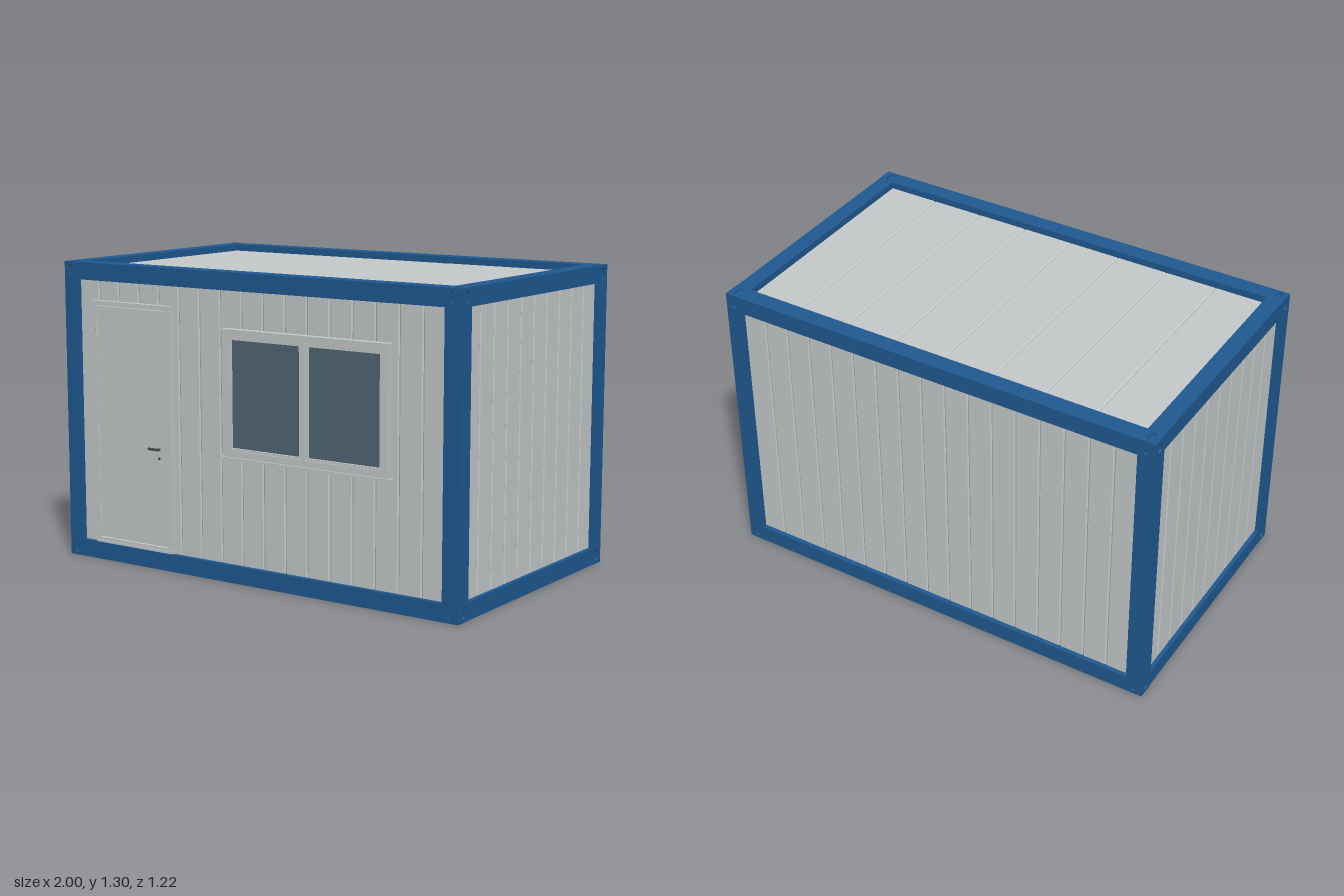
import * as THREE from 'three';

const mat = (name, color) => Object.assign(new THREE.MeshStandardMaterial({ color }), { name });
const blue = mat('frame blue', 0x1f5a92);
const grey = mat('panel grey', 0xc6caca);
const glassMat = mat('window glass', 0x506776);
const brown = mat('floor brown', 0x76573f);
const steel = mat('beam steel', 0x46616f);
const dark = mat('hardware grey', 0x4a4d50);

// Overall body: posts and rails of side S
const X = 1, H = 1.3, ZF = 0.59, ZB = -0.61, S = 0.075;
const ZC = (ZF + ZB) / 2, D = ZF - ZB, INSET = 0.02;

export function createModel() {
  const model = new THREE.Group();
  model.name = 'siteCabin';

  const add = (name, geo, material, x = 0, y = 0, z = 0, parent = model) => {
    const m = new THREE.Mesh(geo, material);
    m.name = name;
    m.position.set(x, y, z);
    parent.add(m);
    return m;
  };
  // Box given by its limits
  const box = (name, material, x0, x1, y0, y1, z0, z1, parent) =>
    add(name, new THREE.BoxGeometry(x1 - x0, y1 - y0, z1 - z0), material,
      (x0 + x1) / 2, (y0 + y1) / 2, (z0 + z1) / 2, parent);
  const rect = (Type, x0, x1, y0, y1) => {
    const s = new Type();
    s.moveTo(x0, y0).lineTo(x1, y0).lineTo(x1, y1).lineTo(x0, y1).closePath();
    return s;
  };
  // Upright plate with rectangular openings
  const frame = (name, outer, holes, z0, z1, parent) => {
    const s = rect(THREE.Shape, ...outer);
    holes.forEach(h => s.holes.push(rect(THREE.Path, ...h)));
    const geo = new THREE.ExtrudeGeometry(s, { depth: z1 - z0, bevelEnabled: false });
    return add(name, geo, grey, 0, 0, z0, parent);
  };

  // Steel frame: posts, long rails and end rails
  const e = 0.002;
  for (const x of [-X, X - S])
    for (const z of [ZB, ZF - S])
      box('cornerPost', blue, x, x + S, S, H - S, z, z + S);
  for (const y of [0, H - S]) {
    for (const z of [ZB, ZF - S])
      box('longRail', blue, -X + S, X - S, y, y + S, z, z + S);
    for (const x of [-X, X - S])
      box('endRail', blue, x + e, x + S - e, y, y + S, ZB + S, ZF - S);
  }

  // Corner castings: a core with a slotted plate on each outer face
  const T = 0.01, r = 0.013;
  const slotted = rect(THREE.Shape, -S / 2, S / 2, -S / 2, S / 2);
  const slot = new THREE.Path();
  slot.absarc(0, 0.012, r, 0, Math.PI, false);
  slot.absarc(0, -0.012, r, Math.PI, Math.PI * 2, false);
  slot.closePath();
  slotted.holes.push(slot);
  const plateGeo = new THREE.ExtrudeGeometry(slotted, { depth: T, bevelEnabled: false, curveSegments: 8 });
  plateGeo.translate(0, 0, S / 2 - T);
  for (const sx of [-1, 1]) for (const sy of [-1, 1]) for (const sz of [-1, 1]) {
    const corner = new THREE.Group();
    corner.name = 'cornerCasting';
    corner.position.set(sx * (X - S / 2), H / 2 + sy * (H - S) / 2, ZC + sz * (D - S) / 2);
    const c = S - T;
    add('castingCore', new THREE.BoxGeometry(c, c, c), blue, -sx * T / 2, -sy * T / 2, -sz * T / 2, corner);
    add('castingPlate', plateGeo, blue, 0, 0, 0, corner).rotation.y = sx * Math.PI / 2;
    add('castingPlate', plateGeo, blue, 0, 0, 0, corner).rotation.x = -sy * Math.PI / 2;
    add('castingPlate', plateGeo, blue, 0, 0, 0, corner).rotation.y = sz > 0 ? 0 : Math.PI;
    model.add(corner);
  }

  // Sheet with shallow V grooves; outer face at z = 0, centred on x and y
  const groovedSheet = (w, h, pitch) => {
    const t = 0.03, n = Math.round(w / pitch), g = 0.006;
    const s = new THREE.Shape();
    s.moveTo(-w / 2, t).lineTo(-w / 2, 0);
    for (let i = 1; i < n; i++) {
      const x = -w / 2 + (i * w) / n;
      s.lineTo(x - g, 0).lineTo(x, 0.003).lineTo(x + g, 0);
    }
    s.lineTo(w / 2, 0).lineTo(w / 2, t).closePath();
    const geo = new THREE.ExtrudeGeometry(s, { depth: h, bevelEnabled: false });
    return geo.translate(0, 0, -h / 2).rotateX(-Math.PI / 2);
  };
  const wallH = H - 2 * S + 0.01, lw = 2 * (X - S) + 0.01, ew = D - 2 * S + 0.01;
  const longSheet = groovedSheet(lw, wallH, 0.11), endSheet = groovedSheet(ew, wallH, 0.11);
  add('frontWall', longSheet, grey, 0, H / 2, ZF - INSET);
  add('backWall', longSheet, grey, 0, H / 2, ZB + INSET).rotation.y = Math.PI;
  for (const s of [-1, 1])
    add('endWall', endSheet, grey, s * (X - INSET), H / 2, ZC).rotation.y = s * Math.PI / 2;
  add('roof', groovedSheet(lw, ew, 0.23), grey, 0, H - 0.03, ZC).rotation.x = -Math.PI / 2;

  // Floor deck with cross beams below
  box('floor', brown, -X + S - e, X - S + e, 0.05, 0.07, ZB + S - e, ZF - S + e);
  for (let i = -3; i <= 3; i++)
    box('floorBeam', steel, i * 0.27 - 0.02, i * 0.27 + 0.02, 0.015, 0.05, ZB + S, ZF - S);

  // Door
  const W = ZF - INSET - 0.005;
  const door = new THREE.Group();
  door.name = 'door';
  model.add(door);
  frame('doorFrame', [-0.84, -0.412, 0.08, 1.14], [[-0.818, -0.436, 0.102, 1.12]], W, 0.597, door);
  box('doorLeaf', grey, -0.815, -0.439, 0.105, 1.117, W, 0.592, door);
  box('doorThreshold', grey, -0.835, -0.417, 0.08, 0.09, W, 0.602, door);
  for (const y of [0.21, 0.58, 1.01]) {
    const hinge = new THREE.CylinderGeometry(0.005, 0.005, 0.042, 10);
    add('hinge', hinge, grey, -0.815, y, 0.598, door);
  }
  box('handleLever', dark, -0.53, -0.474, 0.521, 0.531, 0.603, 0.61, door);
  box('handleNeck', dark, -0.485, -0.475, 0.521, 0.531, 0.59, 0.605, door);
  const keyhole = new THREE.CylinderGeometry(0.006, 0.006, 0.004, 12).rotateX(Math.PI / 2);
  add('keyhole', keyhole, dark, -0.48, 0.486, 0.593, door);

  // Window
  const win = new THREE.Group();
  win.name = 'window';
  model.add(win);
  const panes = [[-0.092, 0.252, 0.575, 1.025], [0.294, 0.638, 0.575, 1.025]];
  frame('windowFrame', [-0.13, 0.675, 0.535, 1.06], panes, W, 0.595, win);
  for (const [x0, x1, y0, y1] of panes) {
    box('glassPane', glassMat, x0, x1, y0, y1, 0.576, 0.584, win);
    box('paneLedge', grey, x0 - 0.014, x1 + 0.014, 0.557, 0.566, W, 0.6, win);
  }
  box('mullion', grey, 0.262, 0.284, 0.555, 1.04, W, 0.6, win);
  box('windowSill', grey, -0.145, 0.69, 0.527, 0.537, W, 0.603, win);
  box('windowHead', grey, -0.137, 0.685, 1.058, 1.069, W, 0.603, win);

  return model;
}
